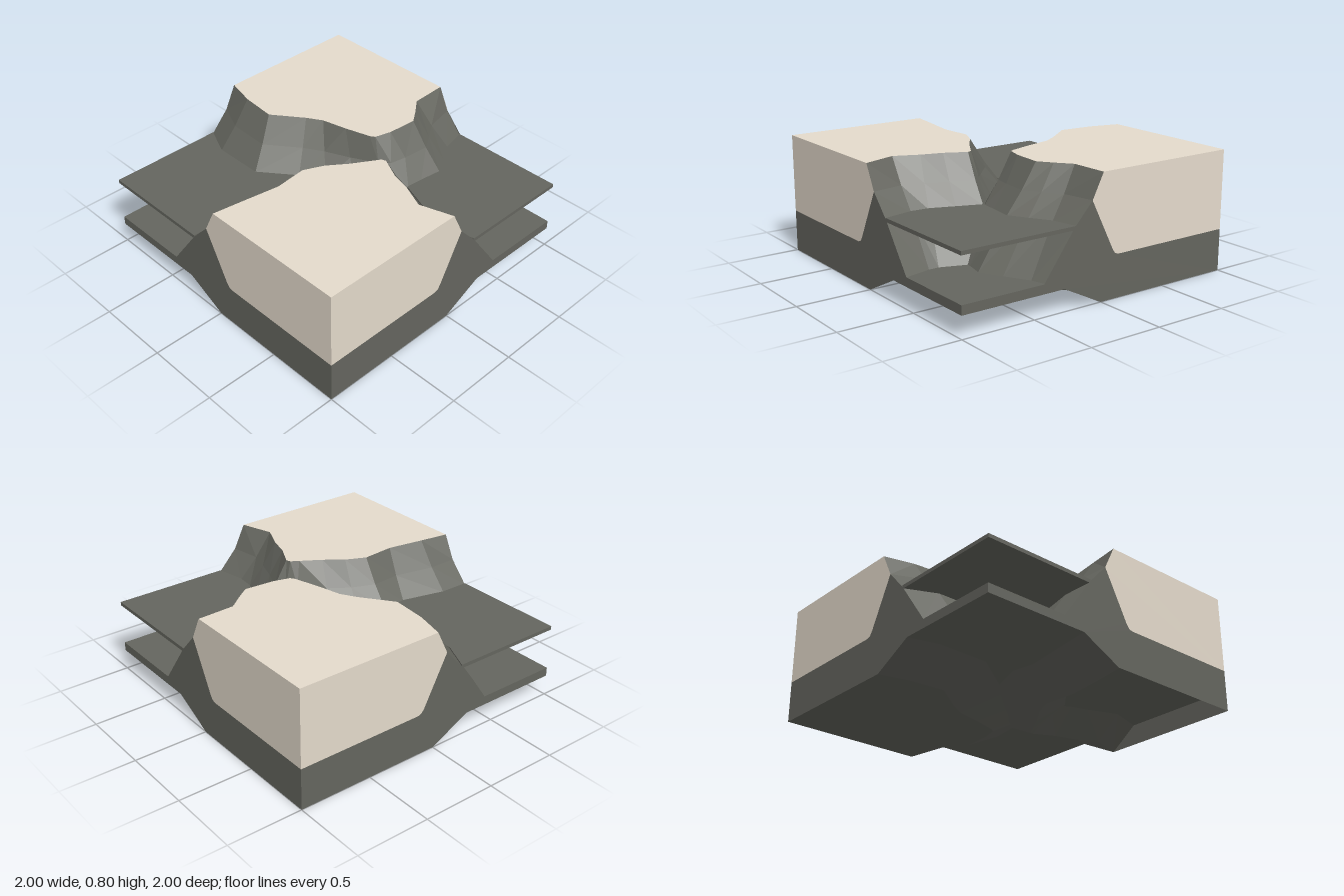
import * as THREE from 'three';

const stone = new THREE.MeshStandardMaterial({ color: 0x65665f, side: THREE.DoubleSide });
stone.name = 'grey stone';
const sand = new THREE.MeshStandardMaterial({ color: 0xe5dbcc, side: THREE.DoubleSide });
sand.name = 'pale sand';

// Rim (top edge) and shelf-level edge of each plateau, as matching [x, z] points
const backBlock = {
  name: 'backPlateau', corner: [1, -1],
  rim: [[0, -1], [-0.05, -0.8], [-0.07, -0.56], [0.08, -0.36], [0.14, -0.26], [0.18, -0.09], [0.23, 0.08],
    [0.25, 0.11], [0.36, 0.14], [0.56, 0.155], [0.65, 0.09], [0.75, 0.01], [1, 0]],
  mid: [[-0.21, -1], [-0.3, -0.8], [-0.3, -0.45], [-0.12, -0.22], [-0.03, -0.06], [0.08, 0.1], [0.21, 0.27],
    [0.31, 0.36], [0.42, 0.37], [0.58, 0.39], [0.7, 0.32], [0.83, 0.24], [1, 0.2]],
};
const frontBlock = {
  name: 'frontPlateau', corner: [-1, 1],
  rim: [[-1, 0], [-0.8, 0.03], [-0.55, 0.07], [-0.33, 0.05], [-0.2, 0.11], [-0.08, 0.2], [0.05, 0.28],
    [0.1, 0.31], [0.11, 0.34], [0.04, 0.48], [0, 0.62], [-0.07, 0.78], [0, 1]],
  mid: [[-1, -0.21], [-0.8, -0.21], [-0.5, -0.14], [-0.33, -0.15], [-0.15, -0.09], [0, 0], [0.15, 0.19],
    [0.21, 0.27], [0.3, 0.36], [0.24, 0.52], [0.18, 0.68], [0.17, 0.8], [0.21, 1]],
};

function addMesh(parent, name, geometry, material) {
  const g = geometry.index ? geometry.toNonIndexed() : geometry;
  g.computeVertexNormals();
  const mesh = new THREE.Mesh(g, material);
  mesh.name = name;
  parent.add(mesh);
}

// Flat polygon whose 2D points are placed in space by a rule
function sheet(points, place) {
  const shape = new THREE.Shape(points.map(([a, b]) => new THREE.Vector2(a, b)));
  const g = new THREE.ShapeGeometry(shape).toNonIndexed();
  const p = g.attributes.position;
  for (let i = 0; i < p.count; i++) p.setXYZ(i, ...place(p.getX(i), p.getY(i)));
  return g;
}
const level = (points, y) => sheet(points, (x, z) => [x, y, z]);

// Faceted band through rows of 3D points
function loft(rows) {
  const out = [];
  for (let r = 0; r < rows.length - 1; r++) {
    for (let i = 0; i < rows[r].length - 1; i++) {
      const a = rows[r][i], b = rows[r][i + 1], c = rows[r + 1][i], d = rows[r + 1][i + 1];
      out.push(...a, ...b, ...c, ...b, ...d, ...c);
    }
  }
  const g = new THREE.BufferGeometry();
  g.setAttribute('position', new THREE.Float32BufferAttribute(out, 3));
  return g;
}

// Row at height y: a share of the way from rim to mid, plus a fixed outward step.
// The two ends may use their own share, to meet the side walls.
function row(block, y, share, step = 0, endShare = share) {
  const last = block.rim.length - 1;
  const fit = (v) => Math.max(-1, Math.min(1, v));
  return block.rim.map(([x, z], i) => {
    const dx = block.mid[i][0] - x, dz = block.mid[i][1] - z;
    const k = (i === 0 || i === last ? endShare : share) + step / Math.hypot(dx, dz);
    return [fit(x + dx * k), y, fit(z + dz * k)];
  });
}

function plateau(block) {
  const group = new THREE.Group();
  group.name = block.name;
  addMesh(group, 'plateauTop', level([...block.rim, block.corner], 0.8), sand);
  addMesh(group, 'cliff', loft([
    row(block, 0.8, 0), row(block, 0.64, 0.48, 0, 0.38), row(block, 0.5, 1), row(block, 0.2, 1, 0.22),
  ]), stone);
  addMesh(group, 'undersideSlope', loft([row(block, 0, 0), row(block, 0.14, 0, 0.28)]), stone);
  return group;
}

// Thin shelf filling the low ground between the two cliffs
function shelf(points) {
  const shape = new THREE.Shape(points.map(([x, z]) => new THREE.Vector2(x, -z)));
  const g = new THREE.ExtrudeGeometry(shape, { depth: 0.025, bevelEnabled: false });
  return g.rotateX(-Math.PI / 2).translate(0, 0.483, 0);
}

export function createModel() {
  const model = new THREE.Group();
  model.name = 'terrainTile';
  const back = plateau(backBlock), front = plateau(frontBlock);
  model.add(back, front);

  // Undersides: one plateau is closed flat, the other is recessed
  addMesh(back, 'base', level([...backBlock.rim, backBlock.corner], 0), stone);
  addMesh(front, 'recessSlope', loft([row(frontBlock, 0, 0), row(frontBlock, 0.14, 0, -0.2)]), stone);
  addMesh(model, 'underside', level([[-1, -1], [1, -1], [1, 1], [-1, 1]], 0.14), stone);

  // Side walls, the same profile on all four edges
  const curve = [[0.08, 0.64], [-0.085, 0.315], [-0.105, 0.287], [-0.13, 0.278], [-1, 0.278]];
  const sandPart = [[-1, 0.8], [0, 0.8], ...curve];
  const stonePart = [...[...curve].reverse(), [0.21, 0.5],
    [0.43, 0.2], [1, 0.2], [1, 0.14], [0.28, 0.14], [0, 0], [-1, 0]];
  const edges = {
    front: (s, y) => [s, y, 1], back: (s, y) => [-s, y, -1],
    right: (s, y) => [1, y, s], left: (s, y) => [-1, y, -s],
  };
  for (const [side, place] of Object.entries(edges)) {
    addMesh(model, side + 'SandWall', sheet(sandPart, place), sand);
    addMesh(model, side + 'StoneWall', sheet(stonePart, place), stone);
  }

  // Low floors and the shelves above them
  for (const s of [-1, 1]) {
    const e = s * 0.08;
    addMesh(model, 'lowFloor', level([[e, e], [s, e], [s, s], [e, s]], 0.2), stone);
  }
  const backEdge = [...backBlock.mid.slice(0, 5), ...frontBlock.mid.slice(0, 6).reverse()];
  const frontEdge = [...frontBlock.mid.slice(8).reverse(), ...backBlock.mid.slice(7)];
  addMesh(model, 'backShelf', shelf([[-1, -1], ...backEdge]), stone);
  addMesh(model, 'frontShelf', shelf([[1, 1], ...frontEdge]), stone);
  return model;
}
